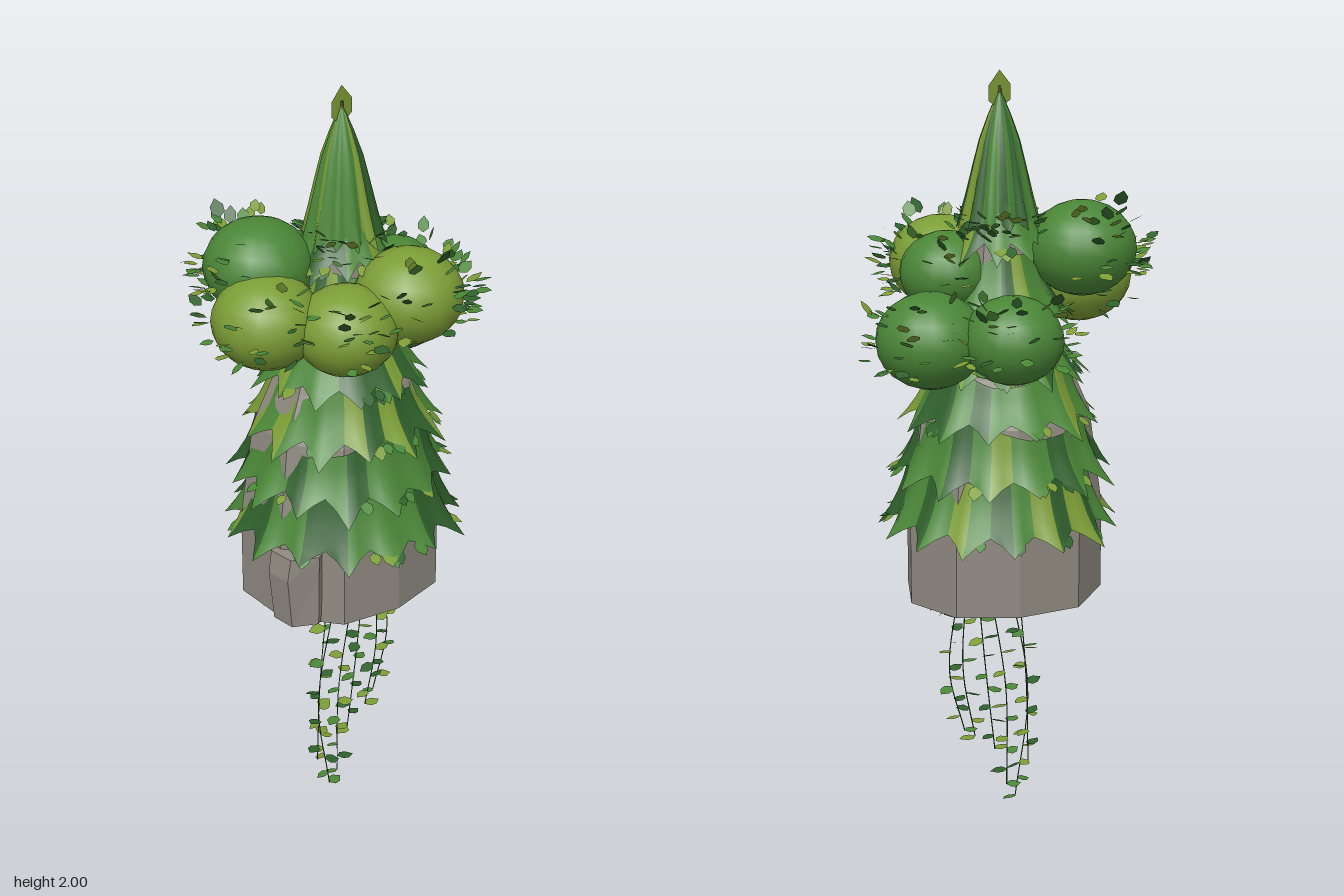
import * as THREE from 'three';
import { mergeGeometries } from 'three/addons/utils/BufferGeometryUtils.js';

export function createModel() {
  const model = new THREE.Group();
  model.name = 'floatingTopiaryTower';

  const material = (name, color, extra = {}) => {
    const m = new THREE.MeshStandardMaterial({ color, ...extra });
    m.name = name;
    return m;
  };
  const both = { side: THREE.DoubleSide };
  const greens = [
    material('darkGreen', 0x2f602c, both),
    material('midGreen', 0x4a8637, both),
    material('oliveGreen', 0x7c9d36, both),
  ];
  const stone = material('stone', 0x8f8a81, { flatShading: true });
  const stem = material('stemBrown', 0x5c4a2e);

  let seed = 11;
  const rand = (a = 0, b = 1) => {
    seed = (seed * 16807) % 2147483647;
    return a + (b - a) * (seed / 2147483647);
  };
  const V = (x, y, z) => new THREE.Vector3(x, y, z);
  const add = (name, geo, mat, parent = model) => {
    const mesh = new THREE.Mesh(geo, mat);
    mesh.name = name;
    parent.add(mesh);
    return mesh;
  };

  // Angular stone core, with a broad block at the foot
  const sides = [0.23, 0.26, 0.255, 0.25, 0.235, 0.26, 0.275, 0.26, 0.25];
  const coreRows = [[0.63, 1], [0.86, 1.0], [1.0, 0.93], [1.12, 0.87], [1.24, 0.68], [1.45, 0.42], [1.66, 0.3]];
  const core = new THREE.CylinderGeometry(1, 1, 1, sides.length, coreRows.length - 1);
  const cp = core.attributes.position;
  for (let i = 0; i < cp.count; i++) {
    const x = cp.getX(i), z = cp.getZ(i);
    const row = Math.round((cp.getY(i) + 0.5) * (coreRows.length - 1));
    const col = Math.round((Math.atan2(x, z) / (Math.PI * 2)) * sides.length + sides.length) % sides.length;
    const r = sides[col] * coreRows[row][1];
    cp.setXYZ(i, x * r, coreRows[row][0], z * r * 0.95);
  }
  add('stoneCore', core, stone);

  // Faceted chunk swelling from one side of the foot
  const chunk = new THREE.CylinderGeometry(0.075, 0.07, 0.2, 6, 2);
  const kp = chunk.attributes.position;
  for (let i = 0; i < kp.count; i++)
    if (Math.abs(kp.getY(i)) < 0.01) { kp.setX(i, kp.getX(i) * 1.2); kp.setY(i, 0.04); }
  add('stoneChunk', chunk, stone).position.set(-0.213, 0.735, 0.07);

  // Leafy shell with a spiked rim; profile runs [radius, height] from top to rim
  function shell(name, profile, spikes, drop, flare, wave, rib) {
    const per = 4, cols = spikes * per, rows = 6;
    const curve = new THREE.SplineCurve(profile.map(([r, y]) => new THREE.Vector2(r, y)));
    const pos = [], lists = [[], [], []];
    const len = Array.from({ length: spikes }, () => rand(0.65, 1.15));
    const phase = rand(0, 6);
    for (let j = 0; j <= rows; j++) {
      for (let i = 0; i < cols; i++) {
        const a = (i / cols) * Math.PI * 2 + phase;
        const s = [0, 0.35, 1, 0.35][i % per] * len[Math.floor(i / per)];
        const t = j / rows;
        const p = curve.getPoint(t);
        const r = p.x * (1 + rib * (s - 0.4)) + flare * s * t ** 4;
        const y = p.y - drop * s * t ** 3 + wave * (1 - t) * Math.sin(3 * a + phase);
        pos.push(Math.sin(a) * r, y, Math.cos(a) * r);
      }
    }
    let shade = 1;
    for (let i = 0; i < cols; i++) {
      if (i % 2 === 0) shade = [0, 0, 1, 1, 1, 2][Math.floor(rand(0, 6))];
      const n = (i + 1) % cols;
      for (let j = 0; j < rows; j++) {
        const tl = j * cols + i, tr = j * cols + n, bl = tl + cols, br = tr + cols;
        lists[shade].push(tl, bl, br, tl, br, tr);
      }
    }
    const geo = new THREE.BufferGeometry();
    geo.setAttribute('position', new THREE.Float32BufferAttribute(pos, 3));
    geo.setIndex(lists.flat());
    let start = 0;
    lists.forEach((l, k) => { geo.addGroup(start, l.length, k); start += l.length; });
    geo.computeVertexNormals();
    add(name, geo, greens);
  }

  // Leaves are gathered by colour and merged per cluster
  const leafShape = new THREE.Shape([
    [0, 0], [0.34, 0.25], [0.34, 0.62], [0, 1], [-0.34, 0.62], [-0.34, 0.25],
  ].map(([x, y]) => new THREE.Vector2(x, y)));
  const leafBase = new THREE.ShapeGeometry(leafShape);
  const newCluster = () => [[], [], []];
  function leaf(cluster, at, dir, normal, size, shade = Math.floor(rand(0, 3))) {
    const y = dir.clone().normalize();
    const x = y.clone().cross(normal).normalize();
    const z = x.clone().cross(y);
    const m = new THREE.Matrix4().makeBasis(x, y, z).scale(V(size, size, size)).setPosition(at);
    cluster[shade].push(leafBase.clone().applyMatrix4(m));
  }
  function finish(cluster, name) {
    const g = new THREE.Group();
    g.name = name;
    cluster.forEach((list, k) => list.length && add(name + 'Leaf', mergeGeometries(list), greens[k], g));
    model.add(g);
  }

  // Stacked skirts, then the slender ribbed crown
  const skirts = [
    [0.225, 1.01, 0.275, 0.86], [0.215, 1.12, 0.255, 1.0], [0.175, 1.25, 0.225, 1.14],
    [0.12, 1.4, 0.185, 1.27], [0.09, 1.54, 0.15, 1.41], [0.07, 1.68, 0.11, 1.58],
  ];
  const trim = newCluster();
  skirts.forEach(([rt, yt, rb, yb], k) => {
    const rm = rt + (rb - rt) * 0.4;
    shell('skirt', [[rt, yt], [rm, (yt + yb) / 2], [rb, yb]], 15 - k, 0.05, 0.045, k < 3 ? 0.025 : 0.01, 0.05);
    for (let i = 0; i < 16; i++) {
      const a = rand(0, Math.PI * 2), c = Math.cos(a), s = Math.sin(a);
      leaf(trim, V(s * rb, yb - 0.005, c * rb), V(s, rand(-1.1, -0.4), c), V(s, 1, c), rand(0.035, 0.05));
    }
  });
  finish(trim, 'skirtTrim');
  shell('crown', [[0.004, 1.945], [0.02, 1.91], [0.049, 1.83], [0.068, 1.74], [0.088, 1.63]], 12, 0.03, 0.02, 0, 0.1);

  // Collar of upturned leaves around the crown
  const collar = newCluster();
  for (let i = 0; i < 60; i++) {
    const a = rand(0, Math.PI * 2), s = Math.sin(a), c = Math.cos(a), r = rand(0.075, 0.13);
    leaf(collar, V(s * r, 1.72 - r, c * r), V(s, rand(0.1, 1), c), V(rand(-0.4, 0.4), 1, rand(-0.4, 0.4)), rand(0.03, 0.045));
  }
  finish(collar, 'collar');

  // Rounded bushes: x, y, z, radius, colour index
  const bushes = [
    [-0.18, 1.55, -0.11, 0.14, 1], [0.095, 1.36, -0.195, 0.128, 1], [0.24, 1.35, -0.045, 0.14, 1],
    [0.115, 1.49, 0.07, 0.122, 1], [0.055, 1.495, 0.185, 0.138, 2], [-0.12, 1.44, 0.145, 0.13, 2],
    [-0.248, 1.455, -0.005, 0.138, 2],
  ];
  const squash = 0.87;
  const inside = (p) => bushes.some(([x, y, z, r]) => Math.hypot(p.x - x, (p.y - y) / squash, p.z - z) < r * 0.98);
  const foliage = newCluster();
  for (const [x, y, z, r, shade] of bushes) {
    const bush = add('bush', new THREE.SphereGeometry(r, 18, 12), greens[shade]);
    bush.position.set(x, y, z);
    bush.scale.y = squash;
    const heading = Math.atan2(x, z);
    for (let i = 0; i < 42; i++) {
      const a = heading + rand(-1.9, 1.9), e = rand(-0.5, 0.95);
      const d = V(Math.sin(a) * Math.cos(e), Math.sin(e) * squash, Math.cos(a) * Math.cos(e));
      const at = V(x, y, z).addScaledVector(d, r * 1.0 + rand(-0.005, 0.03));
      if (inside(at.clone().addScaledVector(d, 0.015))) continue;
      const dir = d.clone().add(V(rand(-0.5, 0.5), rand(-0.1, 0.4), rand(-0.5, 0.5)));
      leaf(foliage, at, dir, V(rand(-0.3, 0.3), 1, rand(-0.3, 0.3)), rand(0.034, 0.05));
    }
  }
  finish(foliage, 'bushFoliage');

  // Single leaf on a short stem at the peak
  add('peakStem', new THREE.CylinderGeometry(0.004, 0.006, 0.05, 6), stem).position.y = 1.935;
  const peak = newCluster();
  leaf(peak, V(0, 1.9, 0), V(0, 1, 0), V(0, 0, 1), 0.1, 2);
  finish(peak, 'peak');

  // Hanging vines: start x, bend x, end x, end height
  const vines = [
    [-0.06, -0.12, -0.07, 0.005], [0.0, -0.05, -0.045, 0.04], [-0.09, -0.11, -0.11, 0.1],
    [0.04, 0.02, 0.0, 0.16], [0.07, 0.09, 0.06, 0.21], [0.1, 0.14, 0.1, 0.24],
  ];
  const vineLeaves = newCluster();
  vines.forEach(([x0, x1, x2, end], k) => {
    const z = 0.035 + 0.006 * Math.sin(k * 2);
    const path = new THREE.CatmullRomCurve3([V(x0, 0.64, z + 0.012), V(x1, 0.3 + end / 2, z), V(x2, end, z - 0.012)]);
    add('vine', new THREE.TubeGeometry(path, 14, 0.0018, 4), greens[0]);
    const count = Math.round((0.6 - end) / 0.045);
    for (let i = 1; i <= count; i++) {
      const side = i % 2 ? 1 : -1;
      leaf(vineLeaves, path.getPoint(i / count), V(side, i === count ? 0 : rand(-0.35, 0.3), rand(-0.4, 0.4)),
        V(rand(-0.2, 0.2), 1, rand(-0.3, 0.3)), rand(0.036, 0.048));
    }
  });
  finish(vineLeaves, 'vineFoliage');

  // Fringe of small leaves under the stone
  const fringe = newCluster();
  for (let i = 0; i < 55; i++) {
    const x = rand(-0.21, 0.22), z = rand(-0.04, 0.07);
    const low = z > 0.01 && i % 2;
    leaf(fringe, V(x, low ? rand(0.59, 0.625) : 0.628, z), low ? V(rand(-0.4, 0.4), -1, rand(-0.2, 0.2)) : V(rand(-1, 1), -0.25, rand(-1, 1)),
      low ? V(1, 0, rand(-0.8, 0.8)) : V(0, 1, 0.1), rand(0.03, 0.042));
  }
  finish(fringe, 'underFringe');

  return model;
}
